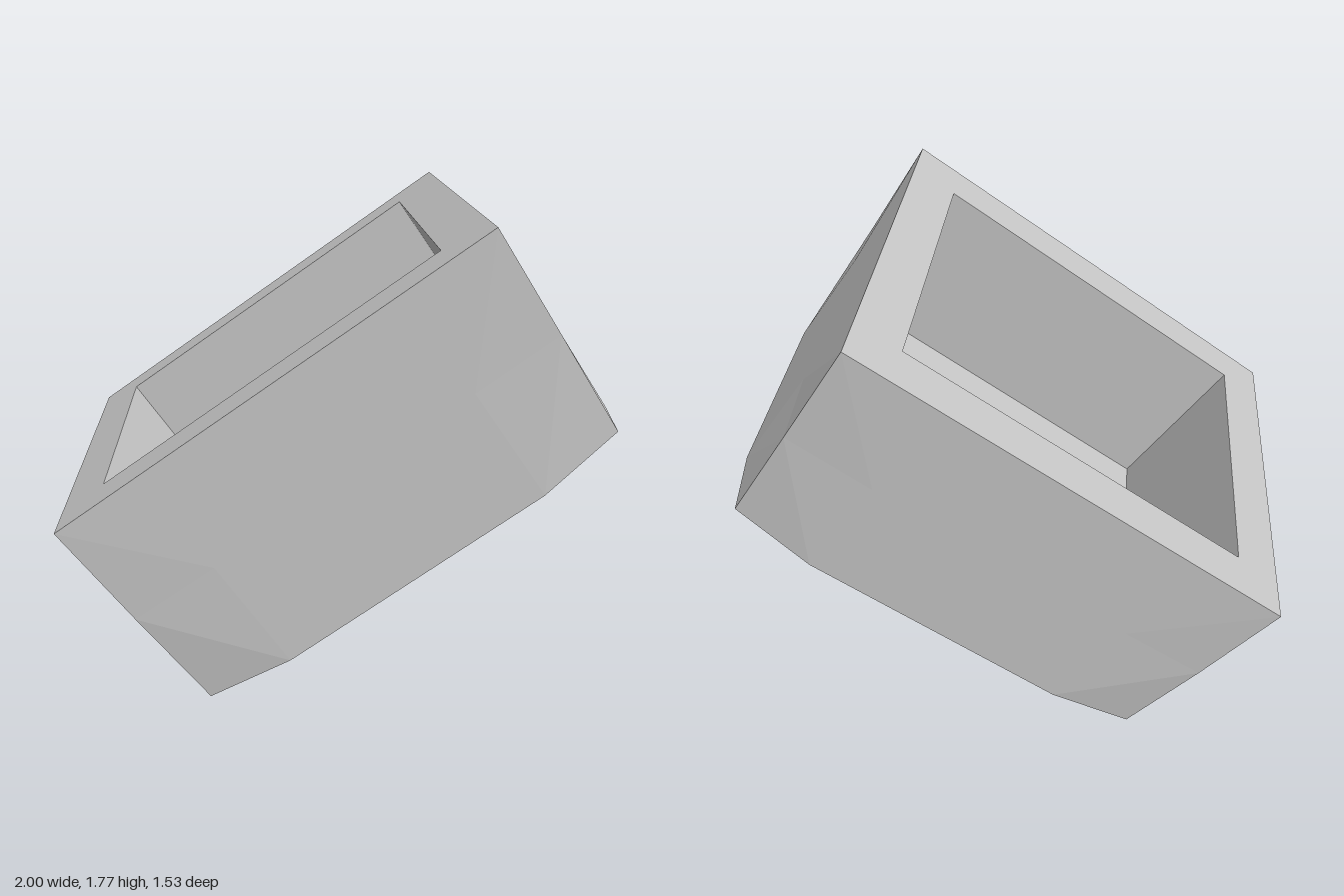
import * as THREE from 'three';

const grey = new THREE.MeshStandardMaterial({ color: 0xc6c6c6 });
grey.name = 'plain grey';

// Twelve-point ring: end points, pulled-in corners and side points, mirrored to all quadrants
function ring(end, corner, side) {
  const quad = (p, sx, sz) => new THREE.Vector3(p[0] * sx, p[1], p[2] * sz);
  const pts = [];
  for (const [sx, sz] of [[1, 1], [-1, 1], [-1, -1], [1, -1]]) {
    const three = [end, corner, side].map(p => quad(p, sx, sz));
    if (sx * sz < 0) three.reverse();
    pts.push(...three);
  }
  return pts;
}

// Rectangular ring at one height
function rect(x0, x1, z0, z1, y) {
  return [[x1, z0], [x1, z1], [x0, z1], [x0, z0]].map(([x, z]) => new THREE.Vector3(x, y, z));
}

// Faceted walls joining rings from top to bottom; inward flips them for a cavity
function walls(name, rings, inward = false) {
  const pos = [];
  const tri = (a, b, c) => {
    const area = b.clone().sub(a).cross(c.clone().sub(a)).length();
    if (area < 1e-6) return;
    for (const p of inward ? [a, c, b] : [a, b, c]) pos.push(p.x, p.y, p.z);
  };
  for (let r = 0; r < rings.length - 1; r++) {
    const T = rings[r], B = rings[r + 1], n = T.length;
    for (let i = 0; i < n; i++) {
      const j = (i + 1) % n;
      if (i % 3 === 0) {           // next point is a corner
        tri(T[i], T[j], B[i]);
        tri(T[j], B[j], B[i]);
      } else {
        tri(T[i], T[j], B[j]);
        tri(T[i], B[j], B[i]);
      }
    }
  }
  const geo = new THREE.BufferGeometry();
  geo.setAttribute('position', new THREE.Float32BufferAttribute(pos, 3));
  geo.computeVertexNormals();
  return named(name, geo);
}

function named(name, geo) {
  const mesh = new THREE.Mesh(geo, grey);
  mesh.name = name;
  return mesh;
}

// Flat level panel with rectangular openings, facing up or down
function panel(name, [x0, x1, z0, z1], openings, y, up) {
  const s = up ? -1 : 1;
  const corners = (a, b, c, d) =>
    [[a, c], [b, c], [b, d], [a, d]].map(([x, z]) => new THREE.Vector2(x, z * s));
  const shape = new THREE.Shape(corners(x0, x1, z0, z1));
  for (const o of openings) shape.holes.push(new THREE.Path(corners(...o)));
  const geo = new THREE.ShapeGeometry(shape);
  geo.rotateX(s * Math.PI / 2);
  geo.translate(0, y, 0);
  return named(name, geo);
}

export function createModel() {
  const model = new THREE.Group();
  model.name = 'tiltedTray';
  const body = new THREE.Group();
  body.name = 'body';
  model.add(body);

  const floorY = -0.7, baseY = -0.966;
  const cavity = [-0.722, 0.72, -0.585, 0.58];
  const slots = [[-0.365, -0.18, 0.14, 0.29], [0.18, 0.362, 0.14, 0.29]];

  // Outer shell, with corners drawn in toward the chamfered base
  body.add(walls('outerShell', [
    ring([0.907, 0, 0.43], [0.907, 0, 0.765], [0.545, 0, 0.765]),
    ring([0.908, -0.43, 0.43], [0.892, -0.43, 0.755], [0.545, -0.43, 0.765]),
    ring([0.909, -0.889, 0.43], [0.877, -0.854, 0.73], [0.545, -0.89, 0.765]),
    ring([0.541, baseY, 0.43], [0.541, baseY, 0.43], [0.541, baseY, 0.43]),
  ]));

  // Rim, recess floor and underside
  body.add(panel('rim', [-0.907, 0.907, -0.765, 0.765], [cavity], 0, true));
  body.add(panel('recessFloor', cavity, slots, floorY, true));
  body.add(panel('underside', [-0.541, 0.541, -0.43, 0.43], slots, baseY, false));

  // Recess walls and the two slots through the floor
  body.add(walls('recessWalls', [rect(...cavity, 0), rect(...cavity, floorY)], true));
  slots.forEach((s, i) =>
    body.add(walls('floorSlot' + (i + 1), [rect(...s, floorY), rect(...s, baseY)], true)));

  // Tilt the whole body
  body.rotation.z = Math.atan2(1.035, 1.49);
  body.position.set(-0.255, 1.2525, 0);
  return model;
}
